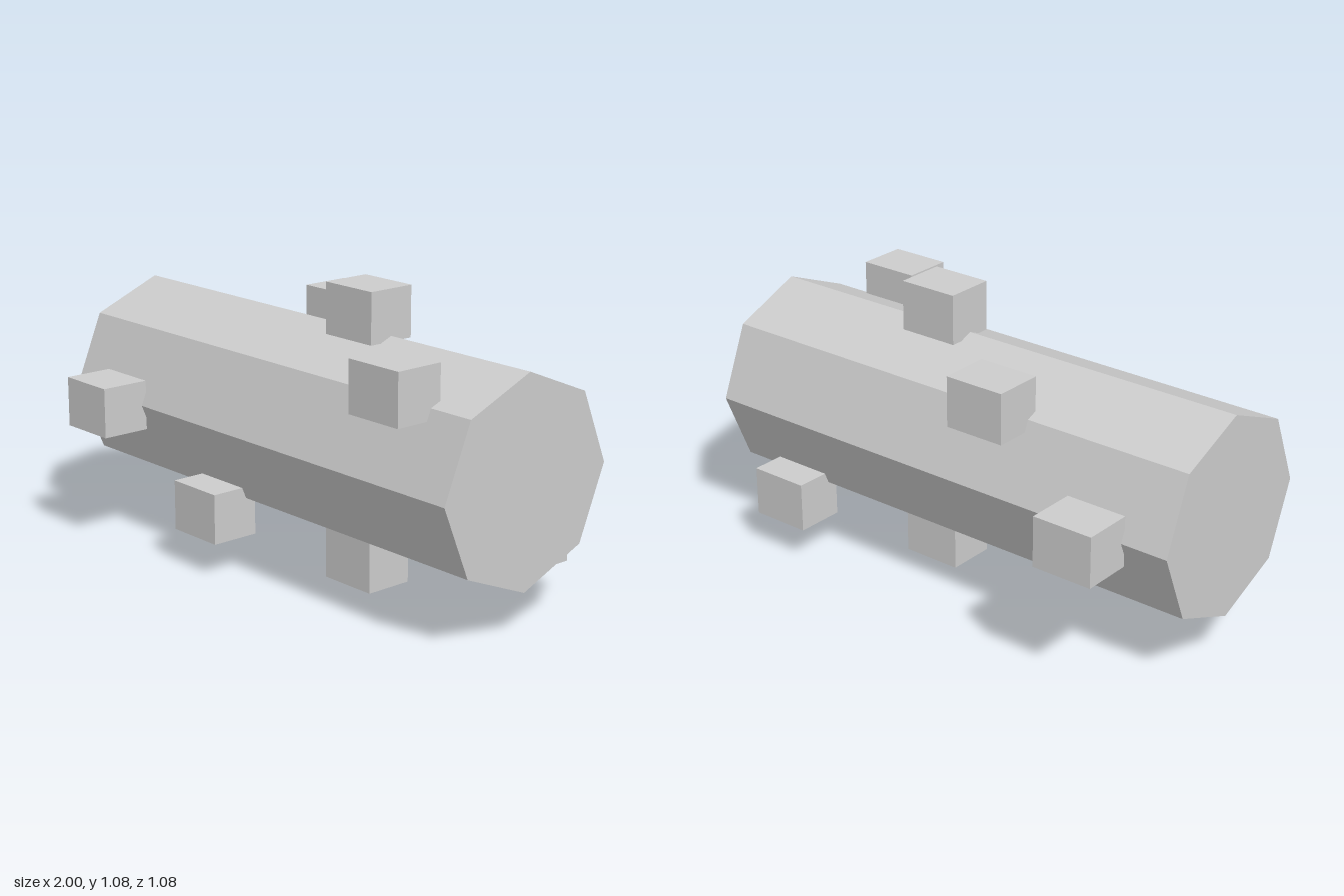
import * as THREE from 'three';

export function createModel() {
  const model = new THREE.Group();
  const grey = new THREE.MeshStandardMaterial({ color: 0xcccccc, flatShading: true });
  grey.name = 'grey';
  const centreY = 0.542;

  // Octagonal drum lying along x, with an edge at the top
  const drum = new THREE.Mesh(
    new THREE.CylinderGeometry(0.376, 0.376, 2, 8).rotateZ(Math.PI / 2), grey);
  drum.name = 'drum';
  drum.position.y = centreY;
  model.add(drum);

  // Upright pegs in two spirals: one per drum edge, stepping along x
  const pegGeometry = new THREE.BoxGeometry(0.232, 0.186, 0.186);
  const pegRadius = 0.449;
  for (let i = 0; i < 8; i++) {
    const angle = i * Math.PI / 4; // from the front, turning downwards
    const peg = new THREE.Mesh(pegGeometry, grey);
    peg.name = `peg${i + 1}`;
    peg.position.set(
      -0.705 + (i % 4) * 0.47,
      centreY - pegRadius * Math.sin(angle),
      pegRadius * Math.cos(angle));
    model.add(peg);
  }
  return model;
}
